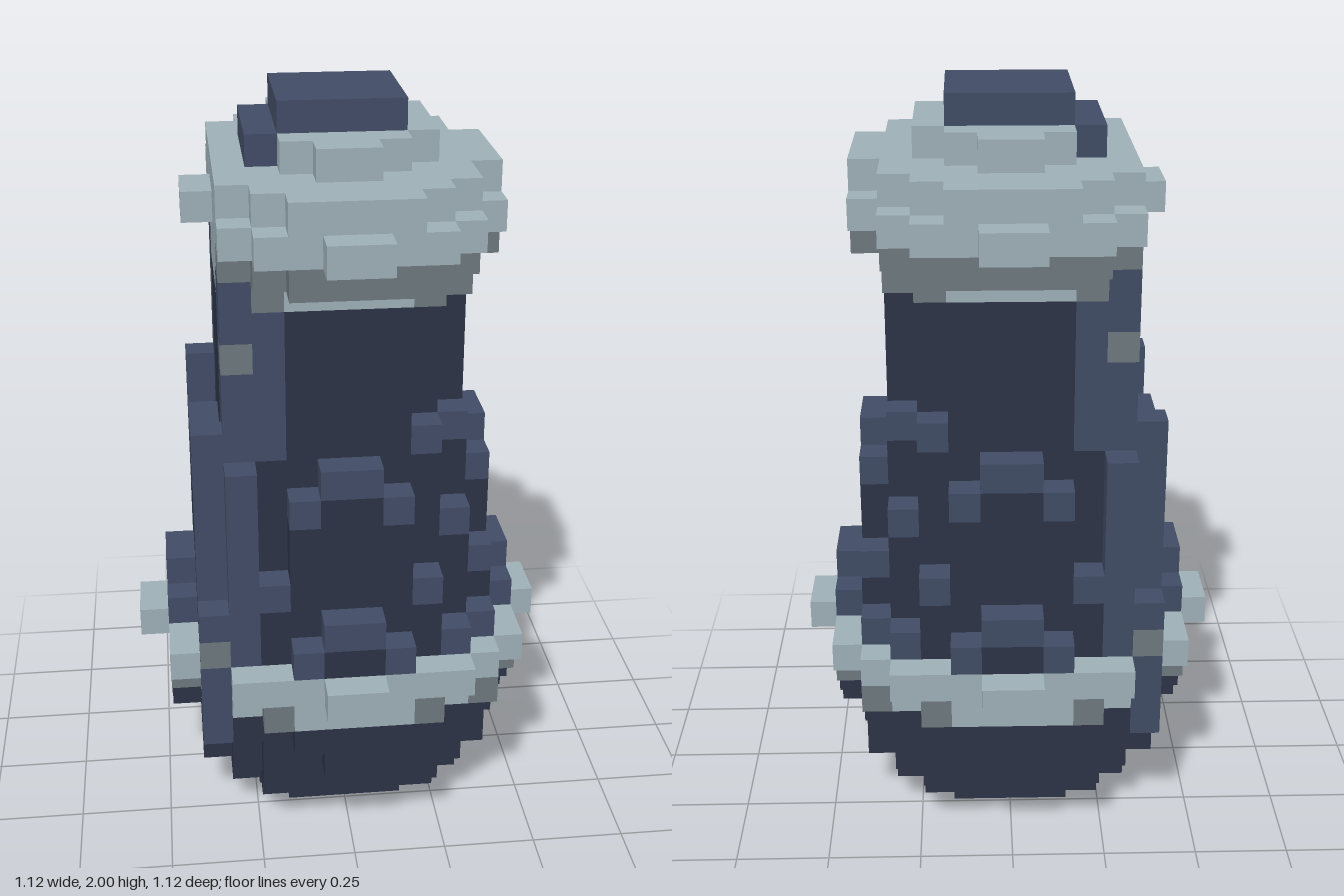
import * as THREE from 'three';
import { mergeGeometries } from 'three/addons/utils/BufferGeometryUtils.js';

const U = 0.08; // edge of one cube

// Ellipse radii [x, z] of every layer, from the ground up
const round = r => [r, r];
const LAYERS = [
  ...[3, 4.4, 5.2, 5.6, 5.9, 6.4, 6.6].map(round),             // base and lower band
  ...[5.9, 5.6, 5.2, 5, 4.97, 4.8, 4.6, 4.35].map(round),      // flared body
  ...[4, 4, 4, 4, 4.35].map(round),                            // neck
  [4.9, 5.9], [5.1, 6.6], [4.9, 5.9], [3, 3.6], [2.2, 2.2],    // cap and knob
];

export function createModel() {
  const group = new THREE.Group();
  const materials = {};
  for (const [name, color] of Object.entries({
    darkNavy: 0x2c3345, slateBlue: 0x414c66, paleGrey: 0x9fb1b8, midGrey: 0x6e797e,
  })) {
    materials[name] = new THREE.MeshStandardMaterial({ color });
    materials[name].name = name;
  }

  // Fill the layers with cubes
  const cells = new Map();
  const key = (x, y, z) => x + ',' + y + ',' + z;
  LAYERS.forEach(([a, b], y) => {
    for (let x = -7; x < 7; x++) for (let z = -7; z < 7; z++) {
      const cx = x + 0.5, cz = z + 0.5;
      if ((cx / a) ** 2 + (cz / b) ** 2 > 1) continue;
      // the cap is cut back on one side
      if (y >= 20 && x < -4 && !(y === 21 && Math.abs(cz) < 1)) continue;
      cells.set(key(x, y, z), { x, y, z });
    }
  });

  // Part and colour of each cube: ledges and undersides are tinted differently
  for (const c of cells.values()) {
    const { x, y, z } = c;
    const ledge = !cells.has(key(x, y + 1, z));
    const overhang = !cells.has(key(x, y - 1, z));
    if (y < 5) [c.part, c.color] = ['base', 'darkNavy'];
    else if (y < 7) [c.part, c.color] = ['lowerBand', y === 5 && overhang ? 'midGrey' : 'paleGrey'];
    else if (y < 19) [c.part, c.color] = ['body', ledge ? 'slateBlue' : 'darkNavy'];
    else if (y < 21) [c.part, c.color] = ['capUnderside', overhang ? 'midGrey' : 'paleGrey'];
    else if (y < 24) [c.part, c.color] = ['cap', 'paleGrey'];
    else [c.part, c.color] = ['knob', 'slateBlue'];
    if (y === 23 && x === -3) [c.part, c.color] = ['knob', 'slateBlue'];
  }

  // Two mirrored ribs climbing the right-hand corners
  const rib = (x, zAbs, y0, y1, color = 'slateBlue') => {
    for (let y = y0; y <= y1; y++) for (const z of [zAbs, -1 - zAbs])
      cells.set(key(x, y, z), { x, y, z, part: 'rib', color });
  };
  rib(-5, 4, 4, 8);
  rib(-5, 3, 7, 14);
  rib(-4, 4, 7, 13);
  rib(-4, 3, 14, 19);
  rib(-4, 2, 15, 19);
  rib(-3, 3, 15, 18);
  rib(-5, 4, 7, 7, 'midGrey');
  rib(-4, 3, 17, 17, 'midGrey');

  // One square per exposed cube side
  const sides = [
    [1, 0, 0], [-1, 0, 0], [0, 1, 0], [0, -1, 0], [0, 0, 1], [0, 0, -1],
  ].map(d => {
    const dir = new THREE.Vector3(...d);
    const turn = new THREE.Quaternion().setFromUnitVectors(new THREE.Vector3(0, 0, 1), dir);
    const square = new THREE.PlaneGeometry(U, U).applyQuaternion(turn)
      .translate(d[0] * U / 2, d[1] * U / 2, d[2] * U / 2);
    return { d, square };
  });
  const batches = new Map();
  for (const { x, y, z, part, color } of cells.values()) {
    for (const { d, square } of sides) {
      if (cells.has(key(x + d[0], y + d[1], z + d[2]))) continue;
      const id = part + ' ' + color;
      if (!batches.has(id)) batches.set(id, { part, color, faces: [] });
      batches.get(id).faces.push(
        square.clone().translate((x + 0.5) * U, (y + 0.5) * U, (z + 0.5) * U));
    }
  }
  for (const { part, color, faces } of batches.values()) {
    const mesh = new THREE.Mesh(mergeGeometries(faces), materials[color]);
    mesh.name = part;
    group.add(mesh);
  }
  return group;
}
